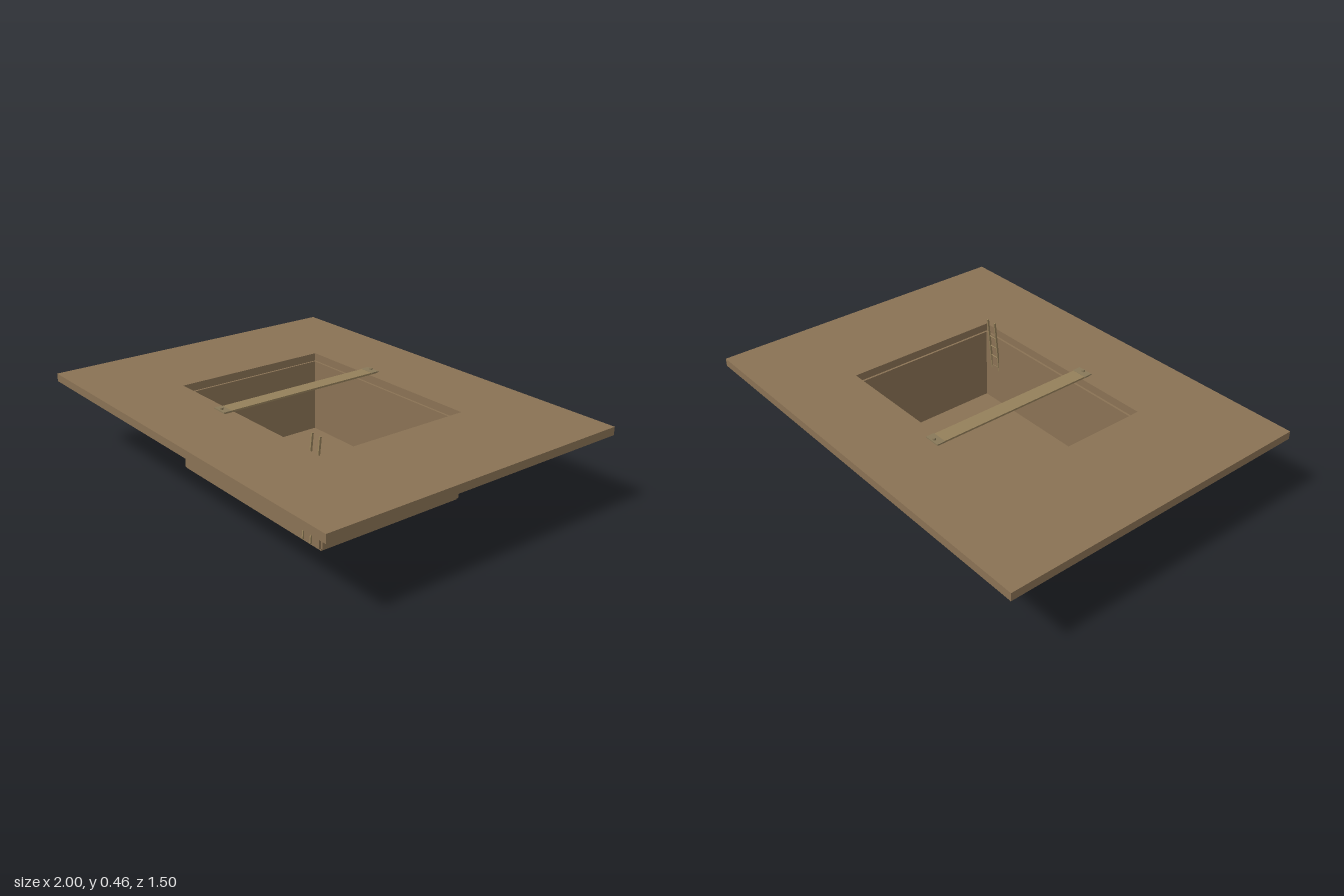
import * as THREE from 'three';

const earth = new THREE.MeshStandardMaterial({ color: 0x8b7355 });
const timber = new THREE.MeshStandardMaterial({ color: 0x96815b });
const metal = new THREE.MeshStandardMaterial({ color: 0x8a7a5a });

function add(parent, name, geometry, material, x, y, z) {
  const mesh = new THREE.Mesh(geometry, material);
  mesh.name = name;
  mesh.position.set(x, y, z);
  parent.add(mesh);
  return mesh;
}

const box = (w, h, d) => new THREE.BoxGeometry(w, h, d);

export function createModel() {
  const model = new THREE.Group();
  model.name = 'pit';

  // Ground slab with a rectangular opening
  const outline = new THREE.Shape([
    new THREE.Vector2(-1, -0.75), new THREE.Vector2(1, -0.75),
    new THREE.Vector2(1, 0.75), new THREE.Vector2(-1, 0.75),
  ]);
  outline.holes.push(new THREE.Path([
    new THREE.Vector2(-0.5, -0.375), new THREE.Vector2(-0.5, 0.375),
    new THREE.Vector2(0.5, 0.375), new THREE.Vector2(0.5, -0.375),
  ]));
  const slab = new THREE.ExtrudeGeometry(outline, { depth: 0.037, bevelEnabled: false });
  slab.rotateX(-Math.PI / 2);
  add(model, 'groundSlab', slab, earth, 0, 0.371, 0);

  // Pit floor and four walls, straddling the edges of the opening
  add(model, 'pitFloor', box(1, 0.02, 0.75), earth, 0, 0.01, 0);
  for (const s of [-1, 1]) {
    add(model, s > 0 ? 'frontWall' : 'backWall', box(1, 0.361, 0.02), earth, 0, 0.1905, s * 0.375);
    add(model, s > 0 ? 'leftWall' : 'rightWall', box(0.02, 0.361, 0.75), earth, s * 0.5, 0.1905, 0);
  }

  // Plank bridging the pit, with an end plate and bolt at each end
  const bridge = new THREE.Group();
  bridge.name = 'plankBridge';
  bridge.position.set(-0.128, 0.408, 0);
  model.add(bridge);
  add(bridge, 'plank', box(0.07, 0.008, 0.84), timber, 0, 0.004, 0);
  for (const s of [-1, 1]) {
    add(bridge, 'endPlate', box(0.076, 0.005, 0.04), metal, 0, 0.0065, s * 0.407);
    add(bridge, 'bolt', new THREE.CylinderGeometry(0.007, 0.007, 0.008, 8), metal, 0, 0.013, s * 0.414);
  }

  // Ladder leaning in the front left corner
  const ladder = new THREE.Group();
  ladder.name = 'ladder';
  ladder.position.set(0.424, 0.24, 0.364);
  ladder.rotation.x = -0.11;
  model.add(ladder);
  for (const s of [-1, 1]) add(ladder, 'rail', box(0.007, 0.45, 0.009), timber, s * 0.025, 0, 0);
  for (let i = 0; i < 6; i++) {
    const rung = new THREE.CylinderGeometry(0.003, 0.003, 0.05, 8);
    rung.rotateZ(Math.PI / 2);
    add(ladder, 'rung', rung, timber, 0, -0.14 + i * 0.055, 0);
  }

  return model;
}
